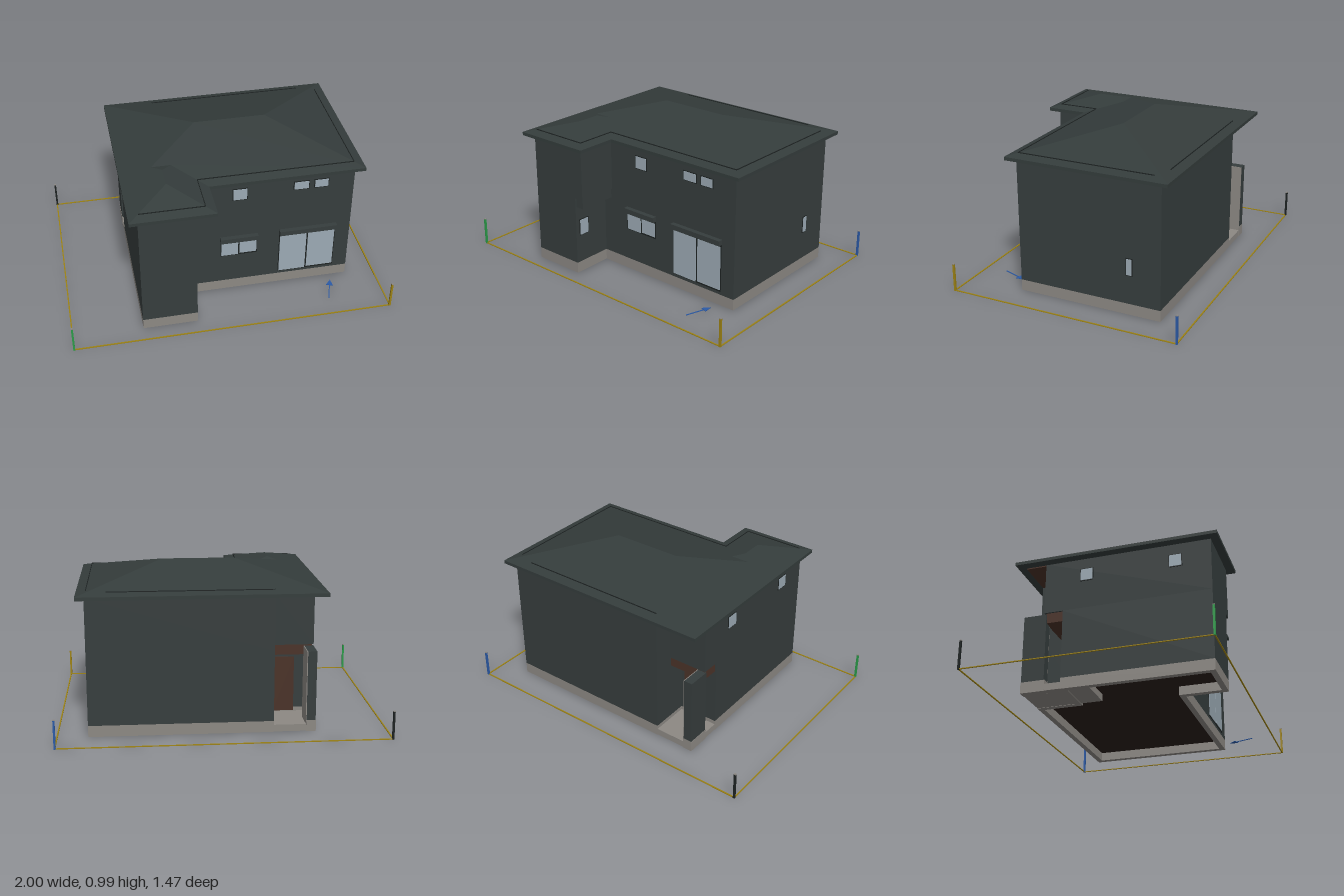
import * as THREE from 'three';

const mat = (name, color) => {
  const m = new THREE.MeshStandardMaterial({ color });
  m.name = name;
  return m;
};

export function createModel() {
  const house = new THREE.Group();
  house.name = 'house';
  const wall = mat('charcoal siding', 0x363d3d);
  const roofMat = mat('slate roof', 0x343c3b);
  const stone = mat('grey foundation', 0x8c8883);
  const glass = mat('pale glass', 0x9caab4);
  const trim = mat('black trim', 0x1d2222);
  const brown = mat('dark wood', 0x4a3228);
  const floorMat = mat('floor underside', 0x2a1e1a);
  const yellow = mat('boundary yellow', 0x9c8214);
  const green = mat('post green', 0x2a9a48);
  const blue = mat('marker blue', 0x2b5aa6);

  const add = (name, geo, m, parent = house) => {
    const mesh = new THREE.Mesh(geo, m);
    mesh.name = name;
    parent.add(mesh);
    return mesh;
  };
  // box given by its limits
  const box = (name, m, x0, x1, y0, y1, z0, z1, parent) => {
    const g = new THREE.BoxGeometry(x1 - x0, y1 - y0, z1 - z0);
    g.translate((x0 + x1) / 2, (y0 + y1) / 2, (z0 + z1) / 2);
    return add(name, g, m, parent);
  };
  // plan outline [x, z] raised from y0 to y1, with an optional hole
  const prism = (name, m, plan, y0, y1, hole) => {
    const shape = new THREE.Shape(plan.map(p => new THREE.Vector2(...p)));
    if (hole) shape.holes.push(new THREE.Path(hole.map(p => new THREE.Vector2(...p))));
    const g = new THREE.ExtrudeGeometry(shape, { depth: y1 - y0, bevelEnabled: false });
    g.rotateX(Math.PI / 2);
    g.translate(0, y1, 0);
    return add(name, g, m);
  };
  // plan with a notched entrance corner and a front wing; d insets every side
  const plan = (porchZ, wingX, d = 0) => [
    [-0.56 + d, porchZ + d], [-0.305 + d, porchZ + d], [-0.305 + d, -0.55 + d], [0.81 - d, -0.55 + d],
    [0.81 - d, 0.37 - d], [wingX - d, 0.37 - d], [wingX - d, 0.63 - d], [-0.56 + d, 0.63 - d]];

  // Foundation, floor and the two storeys
  prism('foundation', stone, plan(-0.3, -0.22), 0, 0.07, plan(-0.3, -0.22, 0.035));
  prism('floorUnderside', floorMat, plan(-0.3, -0.22, 0.03), 0.055, 0.069);
  prism('lowerWalls', wall, plan(-0.3, -0.22), 0.07, 0.51);
  prism('upperWalls', wall, plan(-0.42, -0.157), 0.51, 0.85);
  box('wingOverhangBand', wall, -0.23, -0.165, 0.45, 0.511, 0.36, 0.62);

  // Entrance porch
  box('porchSlab', stone, -0.559, -0.3, 0.002, 0.045, -0.549, -0.13);
  box('porchLintel', brown, -0.55, -0.305, 0.445, 0.511, -0.41, -0.295);
  box('porchCeiling', brown, -0.56, -0.305, 0.837, 0.844, -0.55, -0.42);
  box('porchScreen', wall, -0.56, -0.505, 0.045, 0.5, -0.55, -0.405);
  box('porchScreenLining', stone, -0.505, -0.5, 0.045, 0.5, -0.549, -0.406);
  box('porchScreenBase', stone, -0.562, -0.503, 0, 0.07, -0.552, -0.4);
  box('frontDoor', brown, -0.46, -0.33, 0.05, 0.4, -0.306, -0.299);

  // Hipped roof: height follows the distance in from the eaves
  const E = 0.866, K = 0.2435;
  const A = [-0.615, -0.605], B = [0.86, -0.605], C = [0.86, 0.42], D = [-0.105, 0.42],
    F = [-0.105, 0.68], G = [-0.615, 0.68];
  const R1 = [-0.1025, -0.0925], R2 = [0.3475, -0.0925];            // main ridge
  const W1 = [-0.36, 0.425], W2 = [-0.36, 0.285];                   // wing ridge
  const V1 = [-0.42, 0.225], V2 = [-0.30, 0.225];                   // valley
  const rise = new Map([[R1, 0.5125], [R2, 0.5125], [W1, 0.255], [W2, 0.255], [V1, 0.195], [V2, 0.195]]);
  const planes = [[A, G, W1, W2, V1, R1], [D, C, R2, R1, V1, V2], [D, V2, W2, W1, F],
    [V1, W2, V2], [G, F, W1], [B, C, R2], [A, B, R2, R1]];
  const pos = [];
  for (const poly of planes) {
    const flat = poly.map(p => new THREE.Vector2(...p));
    for (const tri of THREE.ShapeUtils.triangulateShape(flat, [])) {
      const [a, b, c] = tri.map(i => flat[i]);
      const turn = (b.x - a.x) * (c.y - a.y) - (b.y - a.y) * (c.x - a.x);
      const order = turn > 0 ? [tri[0], tri[2], tri[1]] : tri;
      for (const i of order) pos.push(poly[i][0], E + K * (rise.get(poly[i]) || 0), poly[i][1]);
    }
  }
  const slopes = new THREE.BufferGeometry();
  slopes.setAttribute('position', new THREE.Float32BufferAttribute(pos, 3));
  slopes.computeVertexNormals();
  add('roofSlopes', slopes, roofMat);
  prism('roofEaves', roofMat, [A, B, C, D, F, G], 0.845, E - 0.0005);

  // Snow rails just above the eaves
  const rail = (x0, x1, z0, z1) => box('snowRail', trim, x0 - 0.002, x1 + 0.002, 0.874, 0.885, z0 - 0.002, z1 + 0.002);
  rail(-0.3, 0.68, -0.545, -0.545);
  rail(0.8, 0.8, -0.5, 0.36);
  rail(-0.165, 0.8, 0.36, 0.36);
  rail(-0.165, -0.165, 0.36, 0.62);
  rail(-0.55, -0.165, 0.62, 0.62);

  // Windows: local x runs along the wall, local z points outward
  const windowUnit = (name, x, y, z, turn, w, h, panes = 1, hood = false) => {
    const g = new THREE.Group();
    g.name = name;
    box('windowFrame', trim, -w / 2 - 0.005, w / 2 + 0.005, -h / 2 - 0.005, h / 2 + 0.005, -0.002, 0.003, g);
    const pw = w / panes;
    for (let i = 0; i < panes; i++) {
      const x0 = -w / 2 + i * pw, low = i ? 0.012 : 0;
      box('windowPane', glass, x0 + (i ? 0.005 : 0), x0 + pw - (i < panes - 1 ? 0.005 : 0),
        -h / 2 + low / 2, h / 2 - low, 0, 0.006 - i * 0.001, g);
    }
    if (hood) box('shutterBox', wall, -w / 2 - 0.007, w / 2 + 0.007, h / 2 + 0.004, h / 2 + 0.036, -0.002, 0.03, g);
    g.position.set(x, y, z);
    g.rotation.y = turn;
    house.add(g);
  };
  const Q = Math.PI / 2;
  windowUnit('terraceDoor', 0.534, 0.245, 0.37, 0, 0.355, 0.3, 2, true);
  windowUnit('livingWindow', 0.092, 0.335, 0.37, 0, 0.225, 0.11, 2, true);
  windowUnit('upperWindow', 0.094, 0.745, 0.37, 0, 0.085, 0.075);
  windowUnit('upperWindow', 0.476, 0.759, 0.37, 0, 0.09, 0.052);
  windowUnit('upperWindow', 0.602, 0.759, 0.37, 0, 0.083, 0.052);
  windowUnit('sideWindow', 0.81, 0.305, -0.353, Q, 0.032, 0.1);
  windowUnit('wingWindow', -0.22, 0.305, 0.565, Q, 0.066, 0.1);
  windowUnit('upperSideWindow', -0.56, 0.735, -0.15, -Q, 0.075, 0.075);
  windowUnit('upperSideWindow', -0.56, 0.735, 0.41, -Q, 0.075, 0.075);

  // Plot boundary with a post at each corner
  for (const s of [-1, 1]) {
    box('boundaryLine', yellow, -0.995, 0.995, 0, 0.005, s * 0.73 - 0.004, s * 0.73 + 0.004);
    box('boundaryLine', yellow, s * 0.995 - 0.004, s * 0.995 + 0.004, 0, 0.005, -0.73, 0.73);
  }
  for (const [x, z, m] of [[-1, 1, green], [1, 1, yellow], [1, -1, blue], [-1, -1, trim]]) {
    const px = x * 0.994, pz = z * 0.73;
    box('cornerPost', m, px - 0.006, px + 0.006, 0, 0.175, pz - 0.006, pz + 0.006);
    box('postCap', stone, px - 0.006, px + 0.006, 0.175, 0.18, pz - 0.006, pz + 0.006);
  }

  // Flat arrow on the ground
  const arrow = prism('groundArrow', blue, [[-0.003, 0], [0.003, 0], [0.003, -0.12], [0.022, -0.12],
    [0, -0.17], [-0.022, -0.12], [-0.003, -0.12]], 0, 0.004);
  arrow.position.set(0.637, 0, 0.592);
  arrow.rotation.y = -0.33;

  return house;
}
